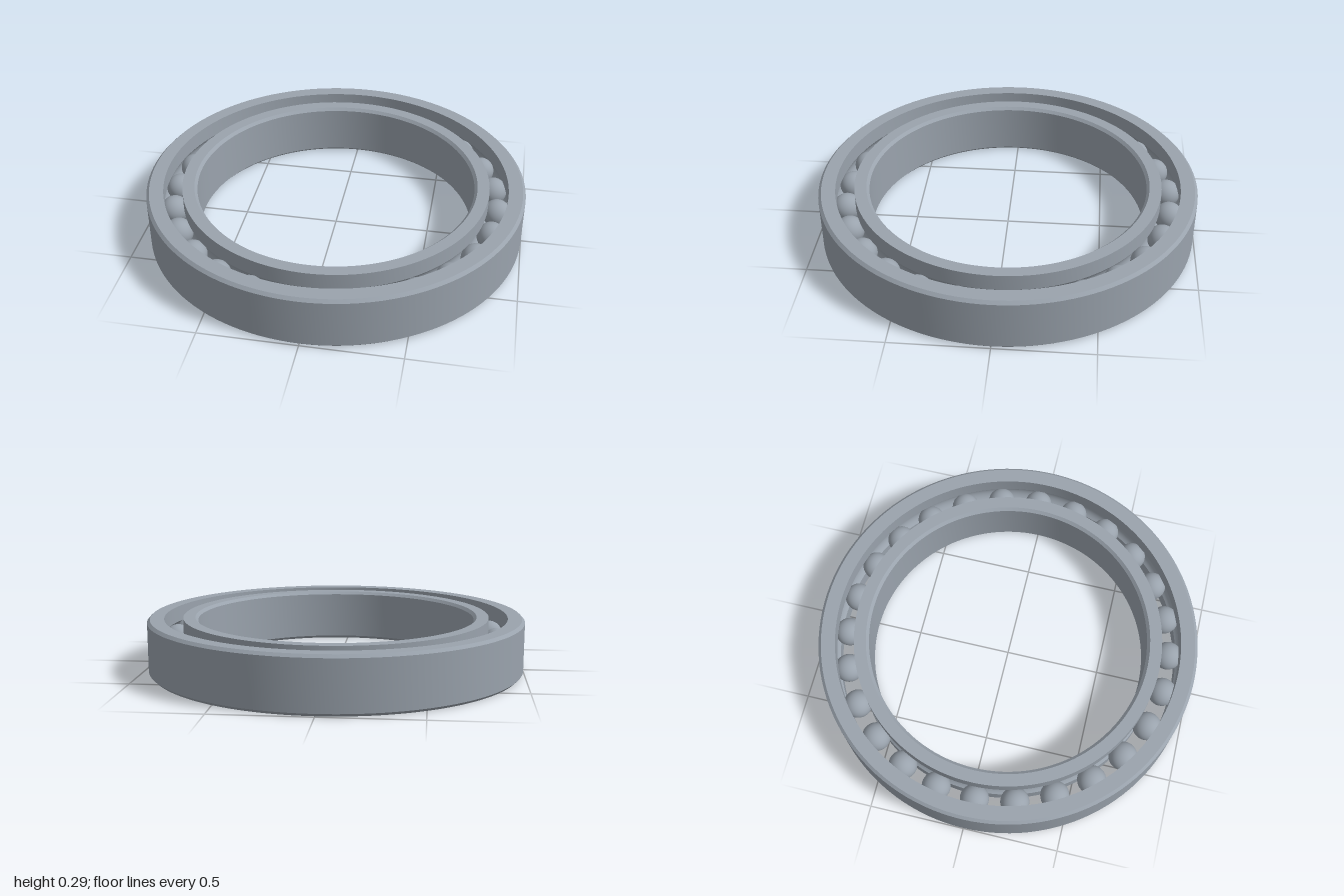
import * as THREE from 'three';
import { toCreasedNormals } from 'three/addons/utils/BufferGeometryUtils.js';

const HEIGHT = 0.286;
const CHAMFER = 0.015;
const PITCH_RADIUS = 0.861; // circle through the ball centres
const BALL_RADIUS = 0.075;
const GROOVE_RADIUS = 0.076;
const BALL_COUNT = 26;

// Points of a raceway groove, swept between two angles around the ball centre
function groove(from, to, steps = 12) {
  return Array.from({ length: steps + 1 }, (_, i) => {
    const a = from + ((to - from) * i) / steps;
    return [PITCH_RADIUS + GROOVE_RADIUS * Math.cos(a), HEIGHT / 2 + GROOVE_RADIUS * Math.sin(a)];
  });
}

// Closed, counter-clockwise profile turned into a ring with sharp edges
function ring(name, profile, material) {
  const points = [...profile, profile[0]].map(([r, y]) => new THREE.Vector2(r, y));
  const geometry = toCreasedNormals(new THREE.LatheGeometry(points, 128), Math.PI / 6);
  const mesh = new THREE.Mesh(geometry, material);
  mesh.name = name;
  return mesh;
}

export function createModel() {
  const model = new THREE.Group();
  model.name = 'ballBearing';
  const steel = new THREE.MeshStandardMaterial({ color: 0x9aa3ad });
  steel.name = 'steel grey';

  // Outer ring: chamfered outside, raceway inside
  const outerBore = 0.911;
  const outerAngle = Math.acos((outerBore - PITCH_RADIUS) / GROOVE_RADIUS);
  model.add(ring('outerRing', [
    [outerBore, 0], [1 - CHAMFER, 0], [1, CHAMFER],
    [1, HEIGHT - CHAMFER], [1 - CHAMFER, HEIGHT], [outerBore, HEIGHT],
    ...groove(outerAngle, -outerAngle),
  ], steel));

  // Inner ring: raceway outside, chamfered bore
  const bore = 0.734;
  const shoulder = 0.812;
  const innerAngle = Math.acos((PITCH_RADIUS - shoulder) / GROOVE_RADIUS);
  model.add(ring('innerRing', [
    [bore + CHAMFER, 0], [shoulder, 0],
    ...groove(Math.PI + innerAngle, Math.PI - innerAngle),
    [shoulder, HEIGHT], [bore + CHAMFER, HEIGHT],
    [bore, HEIGHT - CHAMFER], [bore, CHAMFER],
  ], steel));

  // Balls, evenly spaced between the rings
  const balls = new THREE.Group();
  balls.name = 'balls';
  const ballGeometry = new THREE.SphereGeometry(BALL_RADIUS, 32, 20);
  const startAngle = THREE.MathUtils.degToRad(-1.95);
  for (let i = 0; i < BALL_COUNT; i++) {
    const a = startAngle + (i / BALL_COUNT) * Math.PI * 2;
    const ball = new THREE.Mesh(ballGeometry, steel);
    ball.name = `ball${i + 1}`;
    ball.position.set(PITCH_RADIUS * Math.cos(a), HEIGHT / 2, PITCH_RADIUS * Math.sin(a));
    balls.add(ball);
  }
  model.add(balls);

  return model;
}
